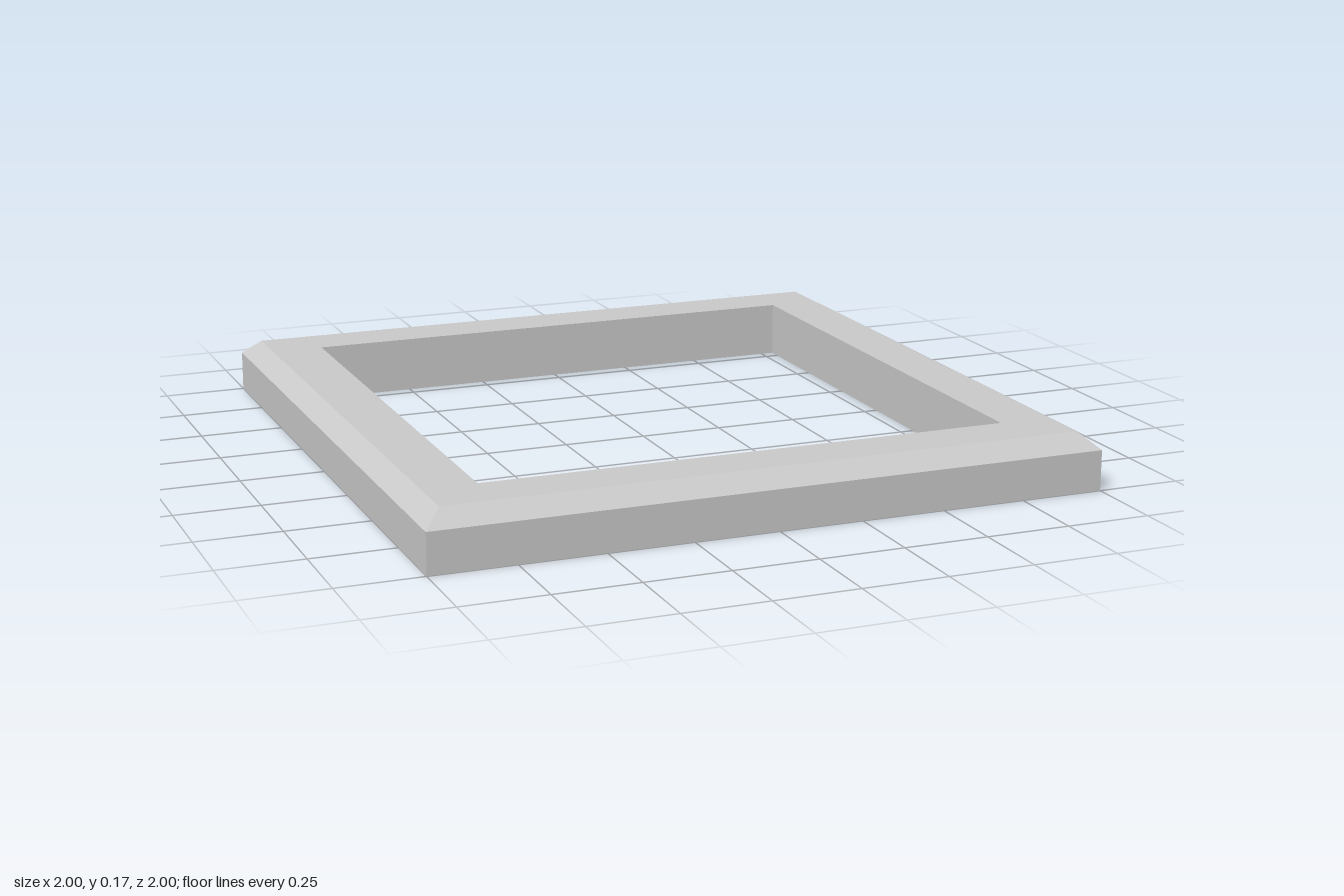
import * as THREE from 'three';

export function createModel() {
  const group = new THREE.Group();
  group.name = 'squareFrame';

  // Cross-section of one rail: [distance from centre, height], outer top edge bevelled
  const section = [
    [0.79, 0], [1, 0], [1, 0.12], [0.947, 0.167], [0.79, 0.167], [0.79, 0],
  ];
  const profile = section.map(([d, y]) => new THREE.Vector2(d * Math.SQRT2, y));

  // Four-sided sweep, turned so the mitred corners lie on the diagonals
  const geometry = new THREE.LatheGeometry(profile, 4, Math.PI / 4);
  const material = new THREE.MeshStandardMaterial({ color: 0xcccccc, flatShading: true });
  const frame = new THREE.Mesh(geometry, material);
  frame.name = 'bevelledFrame';
  group.add(frame);

  return group;
}
